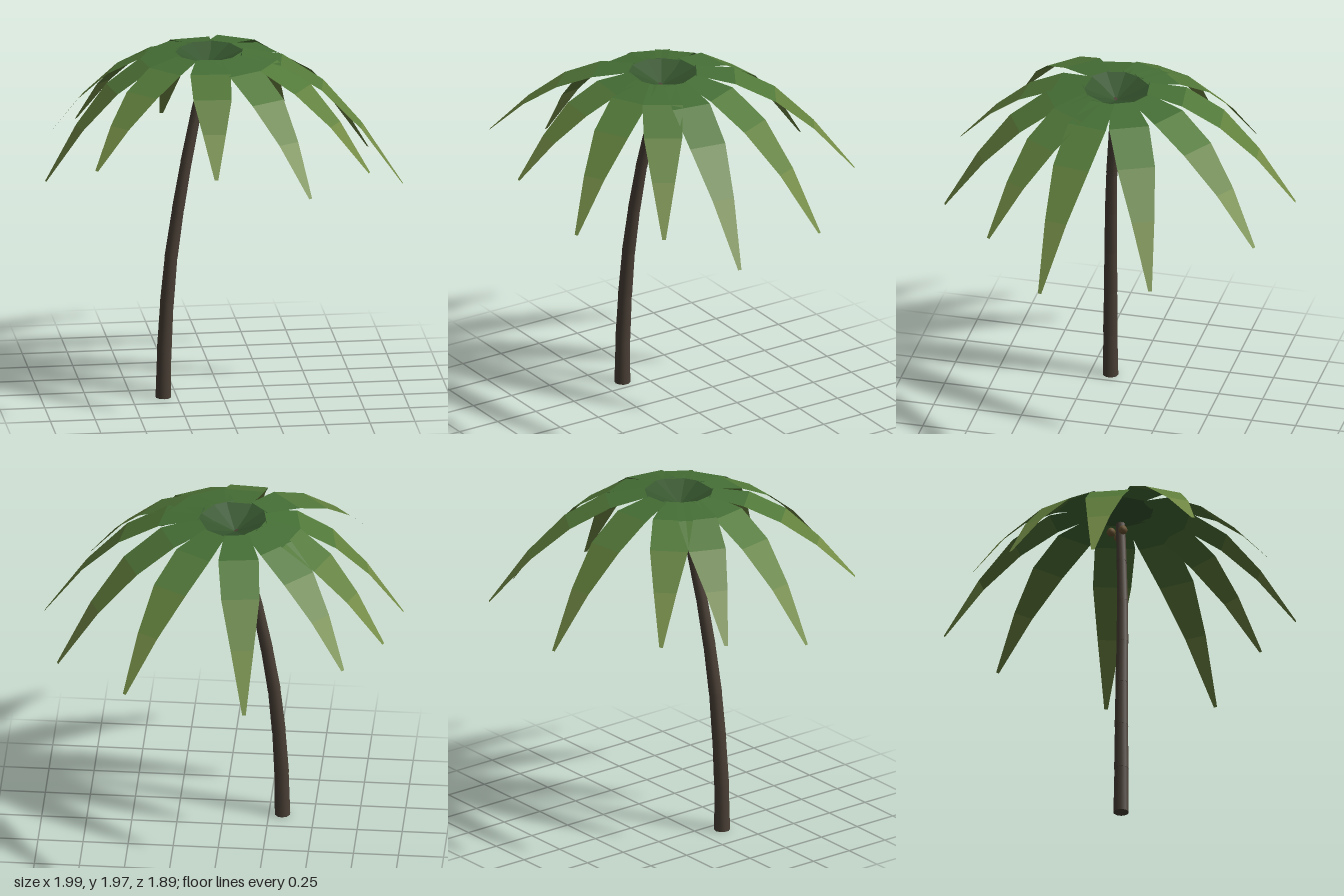
import * as THREE from 'three';
import { mergeGeometries } from 'three/addons/utils/BufferGeometryUtils.js';

const CROWN = new THREE.Vector3(-0.07, 1.88, 0.04);
const PEAK = 1.965;

// Tip of each frond: x, y, z
const TIPS = [
  [-0.2, 1.3, -0.95], [0.47, 1.36, -0.88], [0.88, 1.24, -0.39], [1.0, 1.21, 0.21],
  [0.77, 1.39, 0.56], [0.4, 1.36, 0.9], [-0.13, 1.5, 0.94], [-0.77, 1.51, 0.72],
  [-0.99, 1.3, 0.21], [-0.92, 1.4, -0.3], [-0.72, 1.4, -0.6],
];
// Frond stations: share of the length, share of the drop, half width
const STATIONS = [
  [0, 0, 0.02], [0.18, 0, 0.07], [0.38, 0.06, 0.112],
  [0.59, 0.25, 0.106], [0.79, 0.56, 0.064], [1, 1, 0.01],
];
const GREENS = [0x36562e, 0x456e35, 0x527839, 0x62803d, 0x728a45];

// Left and right edge points of a frond at one station
function edge([tx, ty, tz], i) {
  const [t, drop, half] = STATIONS[i];
  const dx = tx - CROWN.x, dz = tz - CROWN.z, len = Math.hypot(dx, dz);
  const sx = -dz / len * half, sz = dx / len * half;
  const x = CROWN.x + dx * t, z = CROWN.z + dz * t;
  const y = i === 0 ? CROWN.y : PEAK - (PEAK - ty) * drop;
  return [[x - sx, y, z - sz], [x + sx, y, z + sz]];
}

// One flat piece of a frond between two stations, facing up
function frondPiece(tip, i) {
  const [a, b] = edge(tip, i), [c, d] = edge(tip, i + 1);
  const g = new THREE.BufferGeometry();
  g.setAttribute('position', new THREE.Float32BufferAttribute([a, b, d, a, d, c].flat(), 3));
  g.computeVertexNormals();
  return g;
}

export function createModel() {
  const model = new THREE.Group();

  // Trunk: stacked tapering segments that lean towards the crown
  const trunk = new THREE.Group();
  trunk.name = 'trunk';
  const bark = new THREE.MeshStandardMaterial({ color: 0x4a4036 });
  const path = [
    [-0.325, 0, 0.135], [-0.32, 0.27, 0.135], [-0.305, 0.54, 0.13], [-0.28, 0.81, 0.123],
    [-0.24, 1.08, 0.112], [-0.192, 1.35, 0.095], [-0.135, 1.62, 0.07], CROWN.toArray(),
  ].map(p => new THREE.Vector3(...p));
  for (let i = 0; i < path.length - 1; i++) {
    const dir = path[i + 1].clone().sub(path[i]);
    const r = 0.044 - i * 0.0024;
    const segment = new THREE.Mesh(
      new THREE.CylinderGeometry(r * 0.9, r, dir.length() + 0.008, 10), bark);
    segment.name = 'trunkSegment';
    segment.position.copy(path[i]).add(path[i + 1]).multiplyScalar(0.5);
    if (i === 0) segment.position.y += 0.004;
    segment.quaternion.setFromUnitVectors(new THREE.Vector3(0, 1, 0), dir.normalize());
    trunk.add(segment);
  }
  model.add(trunk);

  // Fronds: drooping leaves, one mesh for each shade from heart to tip
  const fronds = new THREE.Group();
  fronds.name = 'fronds';
  GREENS.forEach((color, i) => {
    const band = new THREE.Mesh(
      mergeGeometries(TIPS.map(tip => frondPiece(tip, i))),
      new THREE.MeshStandardMaterial({ color, flatShading: true, side: THREE.DoubleSide }));
    band.name = i === 0 ? 'frondHeart' : i === 4 ? 'frondTips' : 'frondBand';
    fronds.add(band);
  });
  model.add(fronds);

  // Coconuts clustered under the crown
  const husk = new THREE.MeshStandardMaterial({ color: 0x6b5432 });
  for (const p of [[-0.03, 1.825, 0.012], [-0.115, 1.825, 0.07], [-0.1, 1.83, -0.005]]) {
    const nut = new THREE.Mesh(new THREE.SphereGeometry(0.025, 10, 8), husk);
    nut.name = 'coconut';
    nut.position.set(...p);
    model.add(nut);
  }
  return model;
}
